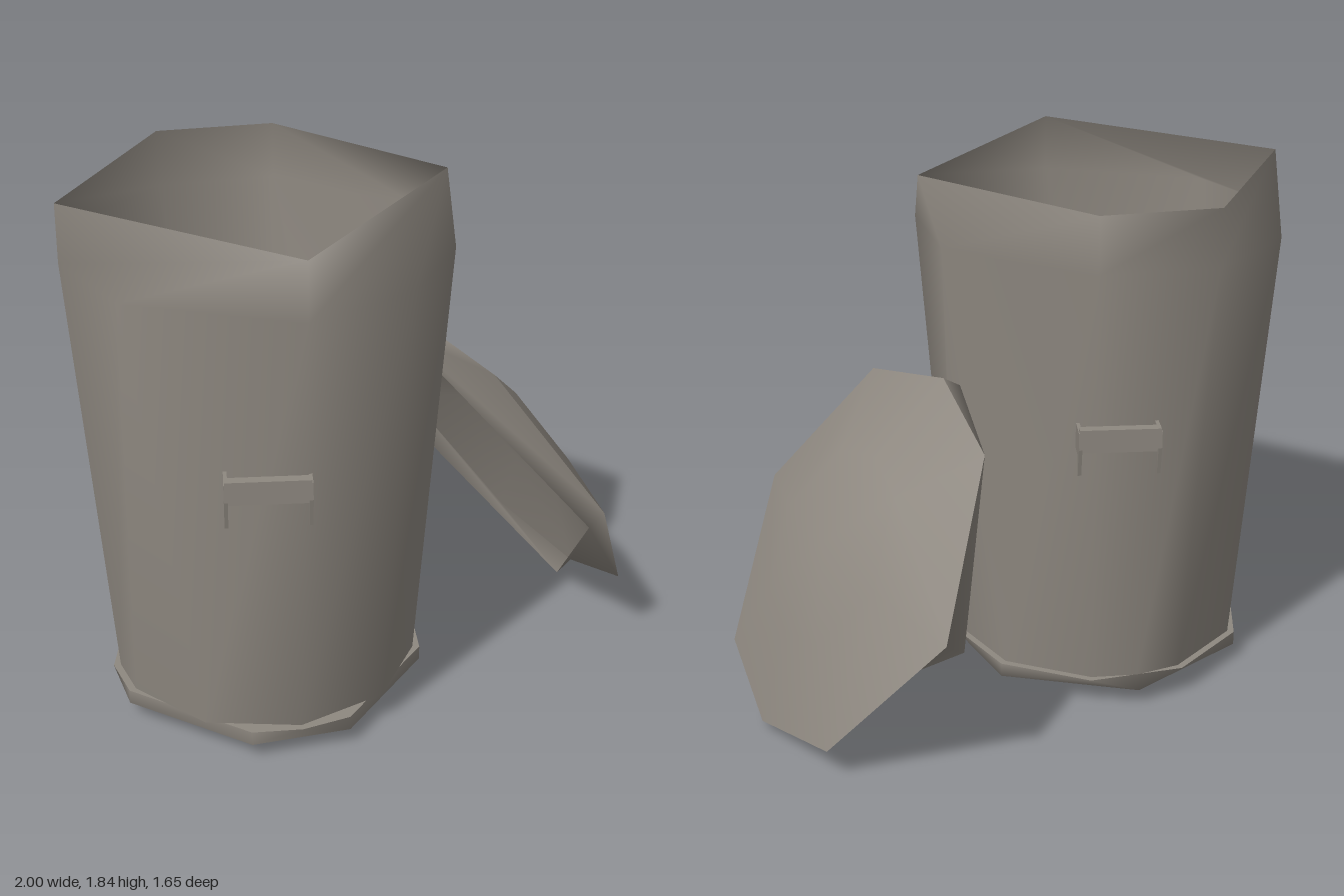
import * as THREE from 'three';

const metal = new THREE.MeshStandardMaterial({ color: 0x8e8880, side: THREE.DoubleSide });
metal.name = 'dull grey metal';

// Centre of the can on the ground plane
const CX = -0.355, CZ = 0.14;

// Ring of points round the can axis; an angle may carry its own radius as [angle, radius]
function canRing(y, radius, angles) {
  return angles.map((a) => {
    const [t, r] = Array.isArray(a) ? a : [a, radius];
    const k = THREE.MathUtils.degToRad(t);
    return { t, p: new THREE.Vector3(CX + r * Math.cos(k), y, CZ + r * Math.sin(k)) };
  });
}

// Skin consecutive rings, stitching by angle so rings may differ in point count
function skin(rings) {
  const pos = [], index = [], starts = [];
  for (const ring of rings) {
    starts.push(pos.length / 3);
    ring.forEach(({ p }) => pos.push(p.x, p.y, p.z));
  }
  for (let k = 0; k + 1 < rings.length; k++) {
    const a = rings[k], b = rings[k + 1];
    const next = (r, i) => (r.length === 1 ? Infinity : i + 1 < r.length ? r[i + 1].t : r[0].t + 360);
    const A = (i) => starts[k] + (i % a.length), B = (j) => starts[k + 1] + (j % b.length);
    const na = a.length > 1 ? a.length : 0, nb = b.length > 1 ? b.length : 0;
    let i = 0, j = 0;
    while (i < na || j < nb) {
      if (j >= nb || (i < na && next(a, i) <= next(b, j))) {
        index.push(A(i), B(j), A(i + 1));
        i++;
      } else {
        index.push(A(i), B(j), B(j + 1));
        j++;
      }
    }
  }
  const g = new THREE.BufferGeometry();
  g.setAttribute('position', new THREE.Float32BufferAttribute(pos, 3));
  g.setIndex(index);
  g.computeVertexNormals();
  return g;
}

function part(name, geometry) {
  const mesh = new THREE.Mesh(geometry, metal);
  mesh.name = name;
  return mesh;
}

function makeCan() {
  const can = new THREE.Group();
  can.name = 'can';

  // Tapered wall with an uneven five-cornered rim
  const foot = canRing(0.12, 0.525, [0, 18, 54, 90, 126, 162, 180, 216, 252, 270, 288, 324]);
  const shoulder = canRing(1.65, 0.645, [-18, 18, 54, [90, 0.68], 144, 180, 216, [252, 0.67], [288, 0.65]]);
  const rim = canRing(1.85, 0.645, [0, [90, 0.68], 180, [252, 0.67], [288, 0.65]]);
  can.add(part('wall', skin([foot, shoulder, rim])));

  // Base band, floor and underside
  const bandTop = canRing(0.12, 0.55, [0, 18, 72, 90, 108, 162, 180, 216, 252, 288, 324]);
  const bandLow = canRing(0.07, 0.55, [18, 72, 108, 162, 216, 270, 324]);
  can.add(part('baseBand', skin([bandLow, bandTop])));
  can.add(part('floor', skin([bandTop, canRing(0.12, 0, [0])])));
  can.add(part('underside', skin([canRing(0.07, 0, [0]), bandLow])));
  return can;
}

// Grip bar with two brackets that taper down against the wall
function makeHandle(name) {
  const handle = new THREE.Group();
  handle.name = name;
  const bar = part('gripBar', new THREE.BoxGeometry(0.27, 0.07, 0.035));
  bar.position.set(0, 1.095, 0.65);
  const shelf = part('gripShelf', new THREE.BoxGeometry(0.25, 0.012, 0.07));
  shelf.position.set(0, 1.05, 0.62);
  handle.add(bar, shelf);
  const side = new THREE.Shape([
    new THREE.Vector2(-0.57, 1.12), new THREE.Vector2(-0.667, 1.12),
    new THREE.Vector2(-0.667, 1.06), new THREE.Vector2(-0.645, 0.96), new THREE.Vector2(-0.63, 1.03),
    new THREE.Vector2(-0.57, 1.03),
  ]);
  for (const s of [-1, 1]) {
    const bracket = part('bracket', new THREE.ExtrudeGeometry(side, { depth: 0.012, bevelEnabled: false }));
    bracket.rotation.y = Math.PI / 2;
    bracket.position.x = s * 0.132 - 0.006;
    handle.add(bracket);
  }
  handle.position.set(CX, 0, CZ);
  return handle;
}

// Shallow domed lid leaning against the can, open underneath
function makeLid() {
  const lid = new THREE.Group();
  lid.name = 'lid';
  const normal = new THREE.Vector3(0.82, 0.52, -0.24).normalize();
  const centre = new THREE.Vector3(0.615, 0.63, -0.18);
  const edge = [
    [0.23, 1.09, -0.51], [0.27, 1.21, -0.11], [0.44, 1.13, 0.25], [0.78, 0.66, 0.47],
    [1.0, 0.18, 0.14], [0.96, 0.05, -0.23], [0.8, 0.13, -0.61], [0.44, 0.59, -0.83],
  ].map((c, k) => ({ t: k * 45, p: new THREE.Vector3(...c) }));
  const raise = (v, h) => v.clone().addScaledVector(normal, h);
  const inner = edge.map(({ t, p }) => ({ t, p: raise(centre.clone().lerp(p, 0.5), 0.1) }));
  const crown = [{ t: 0, p: raise(centre, 0.125) }];
  lid.add(part('dome', skin([crown, inner, edge])));
  // Skirt keeps only every other corner
  const skirt = edge.filter((_, k) => k % 2).map(({ t, p }) => ({ t, p: raise(p, -0.075) }));
  lid.add(part('skirt', skin([edge, skirt])));
  return lid;
}

export function createModel() {
  const model = new THREE.Group();
  model.name = 'dustbin';
  const front = makeHandle('frontHandle'), back = makeHandle('backHandle');
  front.rotation.y = -0.19;
  back.rotation.y = Math.PI - 0.19;
  model.add(makeCan(), front, back, makeLid());
  return model;
}
